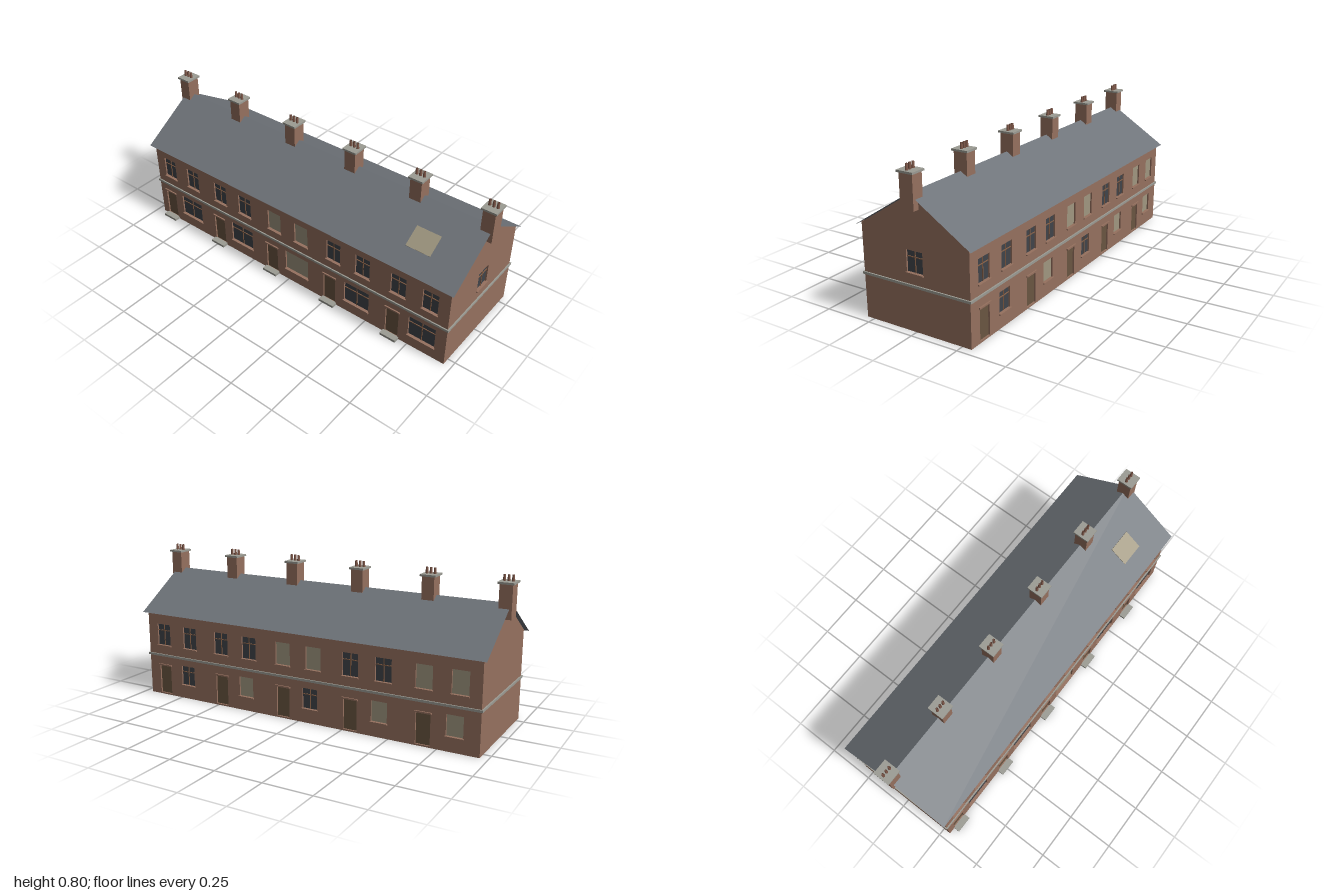
import * as THREE from 'three';

const mat = (color, extra = {}) => new THREE.MeshStandardMaterial({ color, ...extra });
const M = {
  brick: mat(0x96715f),
  slate: mat(0x6f747a, { side: THREE.DoubleSide, flatShading: true }),
  stone: mat(0x9c9c94),
  glass: mat(0x40444a),
  board: mat(0xa09780),
  door: mat(0x6a5541),
  bar: mat(0x8a6248),
  pot: mat(0x80594a, { side: THREE.DoubleSide }),
};

const HALF = 0.96, PITCH = 0.384, HOUSES = 5;
const MID_Z = -0.005, HALF_DEPTH = 0.295;
const EAVE = 0.473, RIDGE = 0.662, SLOPE = 0.64;
const THICK = 0.012;

function box(parent, name, material, w, h, d, x, y, z) {
  const mesh = new THREE.Mesh(new THREE.BoxGeometry(w, h, d), material);
  mesh.name = name;
  mesh.position.set(x, y, z);
  parent.add(mesh);
  return mesh;
}

// Wall with openings; local x runs along it, y up, outer face at z = 0
function makeWall(name, outline, openings) {
  const wall = new THREE.Group();
  wall.name = name;
  const shape = new THREE.Shape(outline.map(([x, y]) => new THREE.Vector2(x, y)));
  for (const { x, y, w, h } of openings) {
    const l = x - w / 2, r = x + w / 2;
    shape.holes.push(new THREE.Path(
      [[l, y], [l, y + h], [r, y + h], [r, y]].map(([a, b]) => new THREE.Vector2(a, b))));
  }
  const geometry = new THREE.ExtrudeGeometry(shape, { depth: THICK, bevelEnabled: false });
  const brick = new THREE.Mesh(geometry.translate(0, 0, -THICK), M.brick);
  brick.name = 'brickwork';
  wall.add(brick);
  openings.forEach((o) => fillOpening(wall, o));
  return wall;
}

// Recessed door, glazed window or boarded window, with sill or lintel
function fillOpening(wall, { x, y, w, h, kind }) {
  const fill = new THREE.Group();
  fill.name = kind === 'door' ? 'door' : kind === 'board' ? 'boardedWindow' : 'window';
  wall.add(fill);
  box(fill, 'panel', M[kind], w, h, 0.004, x, y + h / 2, -THICK + 0.0015);
  if (kind === 'door') {
    box(fill, 'lintel', M.brick, w + 0.012, 0.008, 0.012, x, y + h + 0.004, 0.001);
    return;
  }
  box(fill, 'sill', M.brick, w + 0.008, 0.006, 0.016, x, y - 0.003, 0);
  if (kind === 'glass') {
    box(fill, 'mullion', M.bar, 0.004, h, 0.004, x, y + h / 2, -0.007);
    box(fill, 'transom', M.bar, w, 0.004, 0.004, x, y + h * 0.7, -0.007);
  }
}

// Repeats one house's openings along a long wall
function houseOpenings(doorX, doorH, lower, upperBoarded, lowerBoarded) {
  const list = [];
  for (let i = 0; i < HOUSES; i++) {
    const x0 = -HALF + i * PITCH;
    const upper = upperBoarded.includes(i) ? 'board' : 'glass';
    for (const dx of [0.103, 0.28]) {
      list.push({ x: x0 + dx, y: 0.283, w: 0.085, h: 0.117, kind: upper });
    }
    list.push({ x: x0 + doorX, y: 0.008, w: 0.075, h: doorH, kind: 'door' });
    list.push({ ...lower, x: x0 + lower.x, kind: lowerBoarded.includes(i) ? 'board' : 'glass' });
  }
  return list;
}

function makeChimney(x) {
  const chimney = new THREE.Group();
  chimney.name = 'chimney';
  chimney.position.set(x, 0, MID_Z);
  box(chimney, 'stack', M.brick, 0.064, 0.165, 0.072, 0, 0.6725, 0);
  box(chimney, 'cap', M.stone, 0.08, 0.01, 0.088, 0, 0.76, 0);
  for (const dx of [-0.021, 0, 0.021]) {
    const profile = [[0.0075, 0], [0.006, 0.03], [0.004, 0.03], [0.004, 0.004], [0, 0.004]];
    const pot = new THREE.Mesh(
      new THREE.LatheGeometry(profile.map(([r, y]) => new THREE.Vector2(r, y)), 12), M.pot);
    pot.name = 'chimneyPot';
    pot.position.set(dx, 0.765, 0);
    chimney.add(pot);
  }
  return chimney;
}

export function createModel() {
  const model = new THREE.Group();
  model.name = 'terracedHouses';

  // Long front and back walls
  const long = [[-HALF, 0], [HALF, 0], [HALF, EAVE], [-HALF, EAVE]];
  const front = makeWall('frontWall', long, houseOpenings(
    0.08, 0.163, { x: 0.249, y: 0.068, w: 0.15, h: 0.119 }, [2], [2]));
  front.position.z = MID_Z + HALF_DEPTH;
  const back = makeWall('backWall', long, houseOpenings(
    0.103, 0.158, { x: 0.26, y: 0.076, w: 0.085, h: 0.106 }, [2, 4], [1, 3, 4]));
  back.position.z = MID_Z - HALF_DEPTH;
  back.rotation.y = Math.PI;
  model.add(front, back);

  // Gable walls; only the left one has a window
  const low = 0.003;
  const gableOutline = [[-HALF_DEPTH, 0], [HALF_DEPTH, 0], [HALF_DEPTH, EAVE - low],
    [0, RIDGE - low], [-HALF_DEPTH, EAVE - low]];
  const gableWindow = { x: 0, y: 0.287, w: 0.09, h: 0.106, kind: 'glass' };
  for (const side of [1, -1]) {
    const gable = makeWall(side > 0 ? 'leftGable' : 'rightGable', gableOutline,
      side > 0 ? [gableWindow] : []);
    gable.position.set(side * HALF, 0, MID_Z);
    gable.rotation.y = side * Math.PI / 2;
    model.add(gable);
  }

  // Stone band around the walls
  for (const s of [1, -1]) {
    box(model, 'stringCourse', M.stone, 1.934, 0.012, 0.014, 0, 0.225, MID_Z + s * HALF_DEPTH);
    box(model, 'stringCourse', M.stone, 0.014, 0.012, 0.59, s * HALF, 0.225, MID_Z);
  }

  // Thin pitched roof with overhangs
  const roofGeometry = new THREE.PlaneGeometry(1.96, 0.634, 1, 2).rotateX(-Math.PI / 2);
  const p = roofGeometry.attributes.position;
  for (let i = 0; i < p.count; i++) p.setY(i, RIDGE + 0.001 - SLOPE * Math.abs(p.getZ(i)));
  roofGeometry.computeVertexNormals();
  const roof = new THREE.Mesh(roofGeometry, M.slate);
  roof.name = 'roof';
  roof.position.z = MID_Z;
  model.add(roof);

  // Boarded roof light
  const light = box(model, 'roofLight', M.board, 0.133, 0.003, 0.109, 0.7235, 0.559, 0.171);
  light.rotation.x = Math.atan(SLOPE);

  // Chimneys on the party walls and door steps
  for (let i = 0; i <= HOUSES; i++) model.add(makeChimney(-HALF + i * PITCH));
  for (let i = 0; i < HOUSES; i++) {
    box(model, 'doorStep', M.stone, 0.09, 0.013, 0.034, -HALF + i * PITCH + 0.08, 0.0065, 0.305);
  }
  return model;
}
